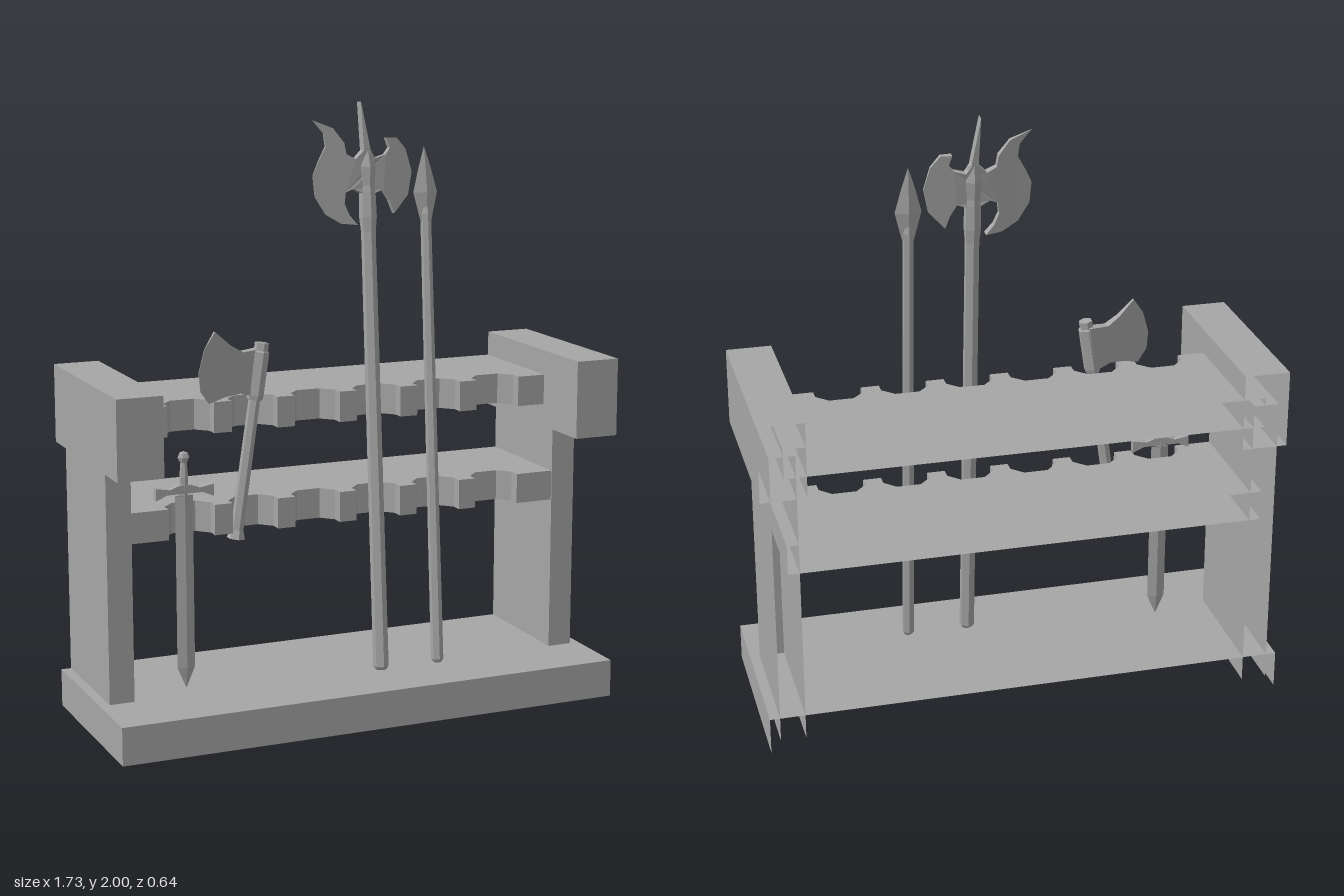
import * as THREE from 'three';

const BACK = -0.32, FRONT = 0.32;

export function createModel() {
  const grey = new THREE.MeshStandardMaterial({ color: 0xa6a6a6, flatShading: true, side: THREE.DoubleSide });
  grey.name = 'plain grey';
  const root = new THREE.Group();
  root.name = 'weaponRack';

  const add = (parent, name, geometry, x = 0, y = 0, z = 0) => {
    const mesh = new THREE.Mesh(geometry, grey);
    mesh.name = name;
    mesh.position.set(x, y, z);
    parent.add(mesh);
    return mesh;
  };
  const group = (name, x, y, z) => {
    const g = new THREE.Group();
    g.name = name;
    g.position.set(x, y, z);
    root.add(g);
    return g;
  };

  // Remove every triangle lying fully on a plane
  const openSide = (geometry, axis, value) => {
    const src = geometry.index ? geometry.toNonIndexed() : geometry;
    const p = src.attributes.position, kept = [];
    for (let i = 0; i < p.count; i += 3) {
      const flat = [0, 1, 2].every(k => Math.abs(p.getComponent(i + k, axis) - value) < 1e-4);
      if (!flat) for (let k = 0; k < 3; k++) kept.push(p.getX(i + k), p.getY(i + k), p.getZ(i + k));
    }
    const out = new THREE.BufferGeometry();
    out.setAttribute('position', new THREE.Float32BufferAttribute(kept, 3));
    out.computeVertexNormals();
    return out;
  };

  // Box given by its limits, open at the back
  const block = (x0, x1, y0, y1, z1) => {
    const g = new THREE.BoxGeometry(x1 - x0, y1 - y0, z1 - BACK);
    g.translate((x0 + x1) / 2, (y0 + y1) / 2, (z1 + BACK) / 2);
    return openSide(g, 2, BACK);
  };

  // Frame: base, two posts and their caps
  add(root, 'base', openSide(block(-0.863, 0.863, 0, 0.125, FRONT), 1, 0));
  for (const [side, s] of [['left', 1], ['right', -1]]) {
    const span = (a, b) => (s > 0 ? [a, b] : [-b, -a]);
    add(root, side + 'Post', openSide(block(...span(0.747, 0.83), 0.04, 1.05, 0.096), 1, 0.04));
    add(root, side + 'Cap', block(...span(0.713, 0.863), 0.9, 1.157, FRONT));
  }

  // Shelves with a row of notches along the front edge
  const outline = [[-0.785, BACK], [0.785, BACK], [0.785, 0.092]];
  for (let i = 5; i >= 0; i--) {
    const c = -0.544 + i * 0.2165;
    outline.push([c + 0.078, 0.092], [c + 0.078, 0.053], [c + 0.04, 0.013],
      [c - 0.04, 0.013], [c - 0.078, 0.053], [c - 0.078, 0.092]);
  }
  outline.push([-0.785, 0.092]);
  const toShape = pts => new THREE.Shape(pts.map(([x, y]) => new THREE.Vector2(x, y)));
  const shelf = (name, top, depth) => {
    const g = new THREE.ExtrudeGeometry(toShape(outline), { depth, bevelEnabled: false });
    g.rotateX(Math.PI / 2).translate(0, top, 0);
    add(root, name, openSide(g, 2, BACK));
  };
  shelf('upperShelf', 1.075, 0.1);
  shelf('lowerShelf', 0.742, 0.1);

  const turned = (pts, sides) => new THREE.LatheGeometry(pts.map(([r, y]) => new THREE.Vector2(r, y)), sides);

  // Flat blade, thick near its middle and thinning towards the edges
  const blade = (pts, half, reach) => {
    const g = new THREE.ExtrudeGeometry(toShape(pts), { depth: 1, bevelEnabled: false });
    const p = g.attributes.position;
    for (let i = 0; i < p.count; i++) {
      const t = half * Math.max(0.06, 1 - Math.abs(p.getX(i)) / reach);
      p.setZ(i, p.getZ(i) > 0.5 ? t : -t);
    }
    g.computeVertexNormals();
    return g;
  };

  // Halberd leaning back against the shelves
  const halberd = group('halberd', 0.106, 0.13, 0.116);
  halberd.rotation.x = -0.077;
  add(halberd, 'halberdPole', turned([[0, 0], [0.017, 0], [0.026, 0.012], [0.024, 1.45],
    [0.029, 1.5], [0.027, 1.58], [0.018, 1.66], [0, 1.665]], 6));
  add(halberd, 'halberdBlade', blade([
    [-0.185, 1.94], [-0.117, 1.913], [-0.08, 1.865], [-0.074, 1.828], [-0.042, 1.812], [-0.014, 1.839],
    [-0.02, 1.995], [0.01, 1.834], [0.026, 1.812], [0.064, 1.823], [0.08, 1.844], [0.069, 1.876],
    [0.106, 1.876], [0.138, 1.839], [0.159, 1.765], [0.143, 1.69], [0.09, 1.632], [0.074, 1.675],
    [0.053, 1.71], [0.02, 1.70], [-0.02, 1.70], [-0.053, 1.717], [-0.08, 1.706], [-0.085, 1.67],
    [-0.069, 1.632], [-0.042, 1.60], [-0.095, 1.606], [-0.148, 1.637], [-0.185, 1.696],
    [-0.19, 1.765], [-0.17, 1.807], [-0.143, 1.855], [-0.148, 1.897],
  ].map(([x, y]) => [x, y - 0.125]), 0.018, 0.19));
  add(halberd, 'halberdSocket', turned([[0, 1.56], [0.022, 1.57], [0.03, 1.66], [0.018, 1.71], [0, 1.73]], 6));

  // Spear
  const spear = group('spear', 0.313, 0.13, 0.116);
  spear.rotation.x = -0.077;
  add(spear, 'spearPole', turned([[0, 0], [0.014, 0], [0.021, 0.012], [0.018, 1.45], [0.018, 1.5], [0.006, 1.55]], 6));
  add(spear, 'spearHead', turned([[0.018, 1.47], [0.043, 1.57], [0.022, 1.65], [0, 1.72]], 4)).scale.z = 0.38;

  // Sword standing upright in the first notch
  const sword = group('sword', -0.552, 0.13, 0.042);
  add(sword, 'swordBlade', turned([[0, 0], [0.03, 0.07], [0.03, 0.64]], 4)).scale.z = 0.35;
  add(sword, 'swordGrip', turned([[0.011, 0.64], [0.014, 0.7], [0.01, 0.755]], 6));
  add(sword, 'swordPommel', new THREE.SphereGeometry(0.02, 6, 4), 0, 0.765, 0);
  const guard = new THREE.ExtrudeGeometry(toShape([
    [-0.098, 0.632], [-0.06, 0.648], [0.06, 0.648], [0.098, 0.632], [0.098, 0.672],
    [0.05, 0.664], [0.02, 0.675], [-0.02, 0.675], [-0.05, 0.664], [-0.098, 0.672],
  ]), { depth: 0.022, bevelEnabled: false });
  add(sword, 'swordGuard', guard, 0, 0, -0.011);

  // Hand axe tilted in the second notch
  const handle = group('axeHandle', -0.382, 0.615, 0.055);
  handle.rotation.z = -0.149;
  add(handle, 'axeGrip', turned([[0, 0], [0.03, 0], [0.021, 0.03], [0.019, 0.47]], 6));
  add(handle, 'axeSocket', turned([[0, 0.455], [0.025, 0.455], [0.028, 0.47], [0.028, 0.61],
    [0.023, 0.615], [0.023, 0.64], [0, 0.64]], 6));
  const axeBlade = add(root, 'axeBlade', blade([
    [0.01, 1.229], [-0.062, 1.224], [-0.107, 1.25], [-0.162, 1.298], [-0.2, 1.245], [-0.222, 1.171],
    [-0.217, 1.113], [-0.184, 1.07], [-0.129, 1.086], [-0.073, 1.092], [-0.015, 1.076],
  ], 0.02, 0.21), -0.3, 0, 0.046);
  axeBlade.rotation.y = 0.22;

  return root;
}
